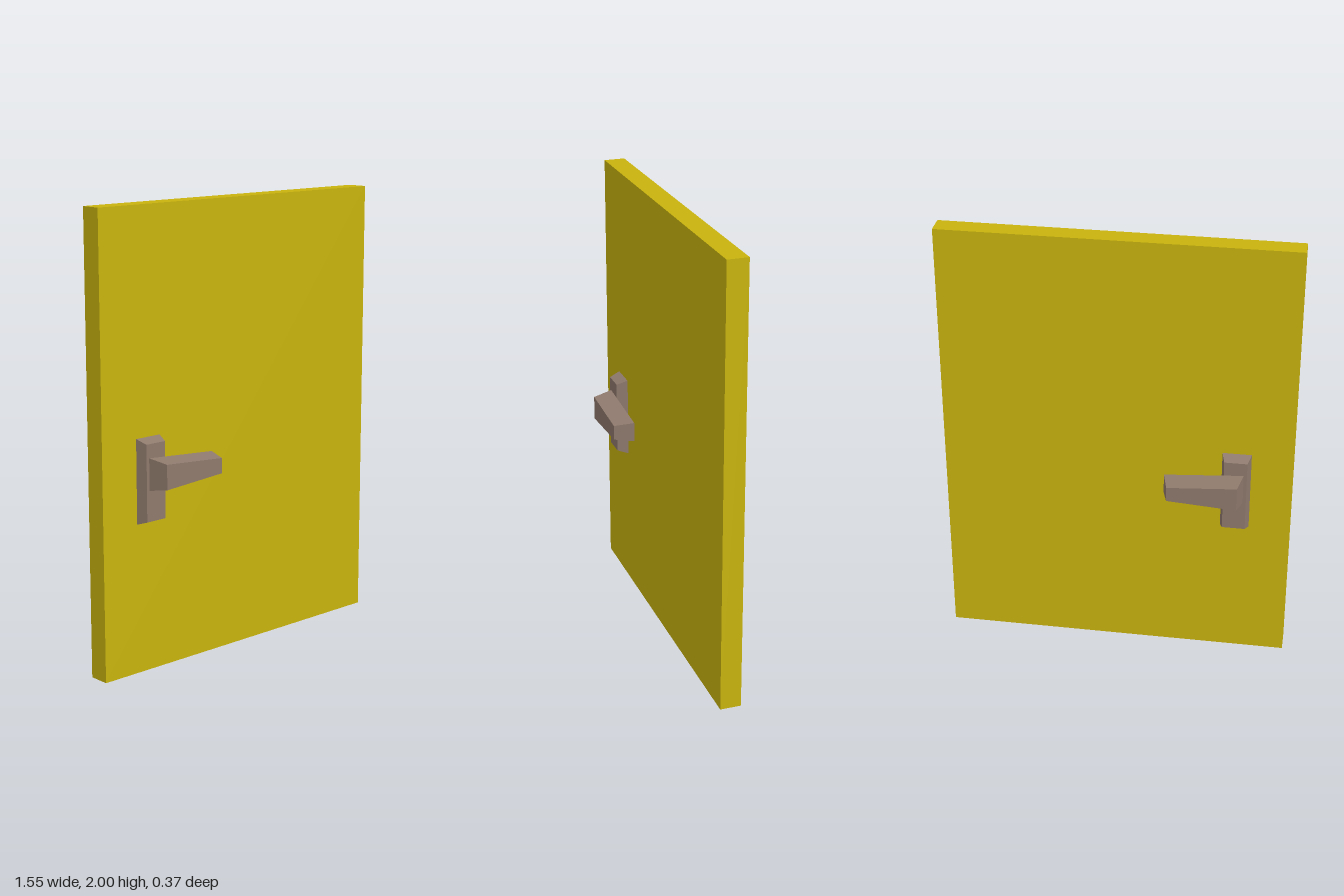
import * as THREE from 'three';

// Box whose inner and outer ends are different rectangles or trapezoids.
// Each end: { x: [min, max], left: [yMin, yMax], right: [yMin, yMax], z }
function taperedBlock(inner, outer, side) {
  const box = new THREE.BoxGeometry(1, 1, 1);
  const p = box.attributes.position;
  for (let i = 0; i < p.count; i++) {
    const end = p.getZ(i) * side > 0 ? outer : inner;
    const isRight = p.getX(i) > 0 ? 1 : 0;
    const ys = isRight ? end.right : end.left;
    p.setXYZ(i, end.x[isRight], ys[p.getY(i) > 0 ? 1 : 0], end.z * side);
  }
  const geometry = box.toNonIndexed();
  geometry.computeVertexNormals();
  return geometry;
}

export function createModel() {
  const yellow = new THREE.MeshStandardMaterial({ color: 0xc9b40e });
  yellow.name = 'yellow paint';
  const brown = new THREE.MeshStandardMaterial({ color: 0x8f7a6d });
  brown.name = 'brown metal';

  const model = new THREE.Group();
  model.name = 'door';
  const add = (parent, name, geometry, material) => {
    const mesh = new THREE.Mesh(geometry, material);
    mesh.name = name;
    parent.add(mesh);
    return mesh;
  };

  // Door panel
  add(model, 'panel', new THREE.BoxGeometry(1.55, 2, 0.094), yellow).position.y = 1;

  // Matching plate and lever on both faces
  for (const side of [1, -1]) {
    const handle = new THREE.Group();
    handle.name = side > 0 ? 'frontHandle' : 'backHandle';

    // Bevelled plate against the door
    add(handle, 'plate', taperedBlock(
      { x: [-0.594, -0.466], left: [0.66, 1.03], right: [0.66, 1.03], z: 0.047 },
      { x: [-0.58, -0.479], left: [0.677, 1.012], right: [0.677, 1.012], z: 0.097 },
      side), brown);

    // Lever narrowing towards the middle of the door
    add(handle, 'lever', taperedBlock(
      { x: [-0.566, -0.217], left: [0.812, 0.952], right: [0.836, 0.926], z: 0.097 },
      { x: [-0.545, -0.239], left: [0.828, 0.937], right: [0.848, 0.915], z: 0.187 },
      side), brown);

    model.add(handle);
  }
  return model;
}
